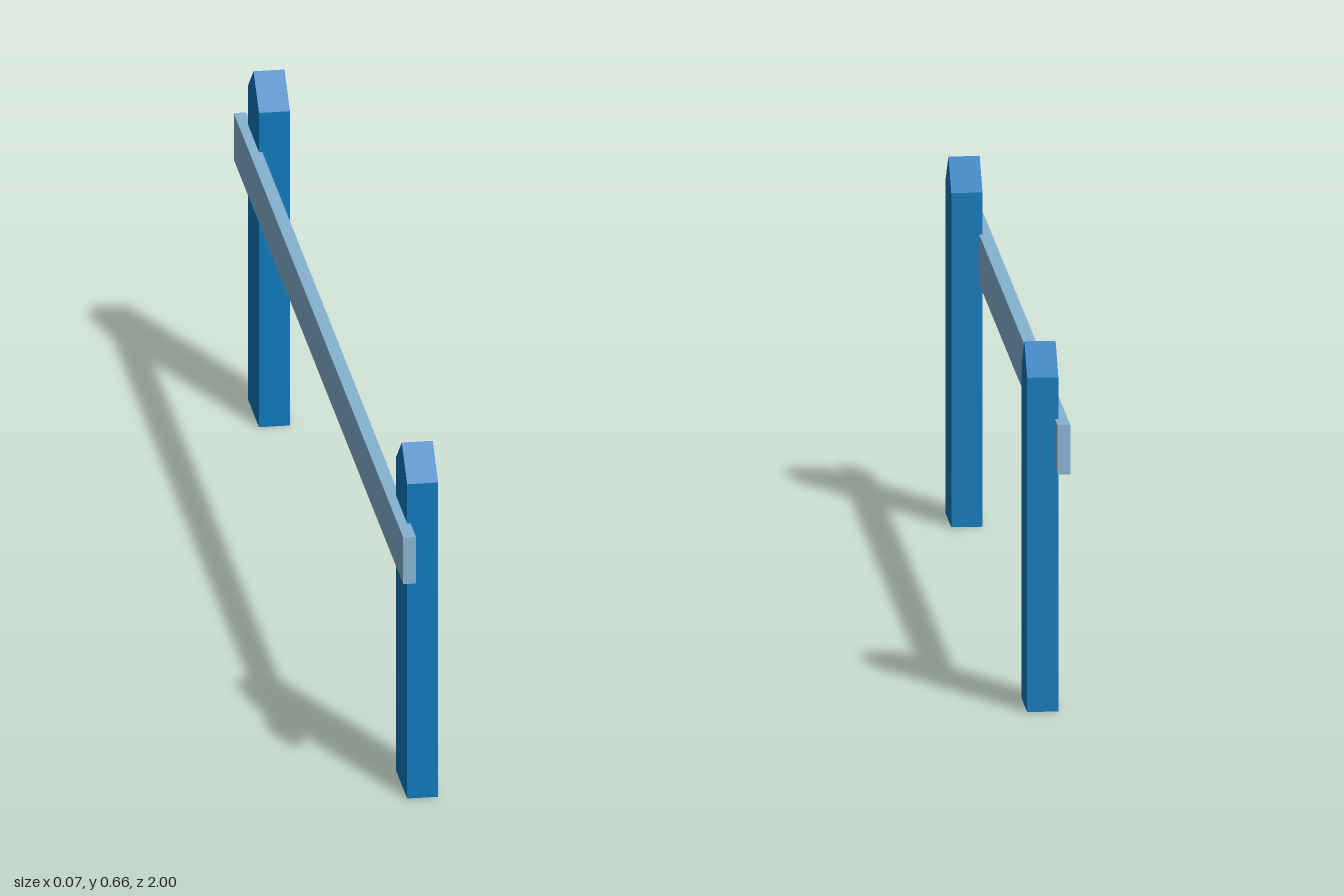
import * as THREE from 'three';

export function createModel() {
  const group = new THREE.Group();
  const postBlue = new THREE.MeshStandardMaterial({ color: 0x0e78ba });
  postBlue.name = 'postBlue';
  const railBlue = new THREE.MeshStandardMaterial({ color: 0x86b2d2 });
  railBlue.name = 'railBlue';

  // Pointed post profile, extruded along x
  const half = 0.065, shoulder = 0.608, peak = 0.662;
  const profile = new THREE.Shape([
    new THREE.Vector2(-half, 0),
    new THREE.Vector2(half, 0),
    new THREE.Vector2(half, shoulder),
    new THREE.Vector2(0, peak),
    new THREE.Vector2(-half, shoulder),
  ]);
  const postGeometry = new THREE.ExtrudeGeometry(profile, { depth: 0.056, bevelEnabled: false });
  postGeometry.rotateY(Math.PI / 2);

  // Two posts, one near each end of the rail
  for (const [name, z] of [['frontPost', 0.871], ['backPost', -0.878]]) {
    const post = new THREE.Mesh(postGeometry, postBlue);
    post.name = name;
    post.position.set(-0.02, 0, z);
    group.add(post);
  }

  // Long rail let slightly into the right side of the posts
  const rail = new THREE.Mesh(new THREE.BoxGeometry(0.023, 0.09, 2), railBlue);
  rail.name = 'rail';
  rail.position.set(-0.0255, 0.487, 0);
  group.add(rail);

  return group;
}
